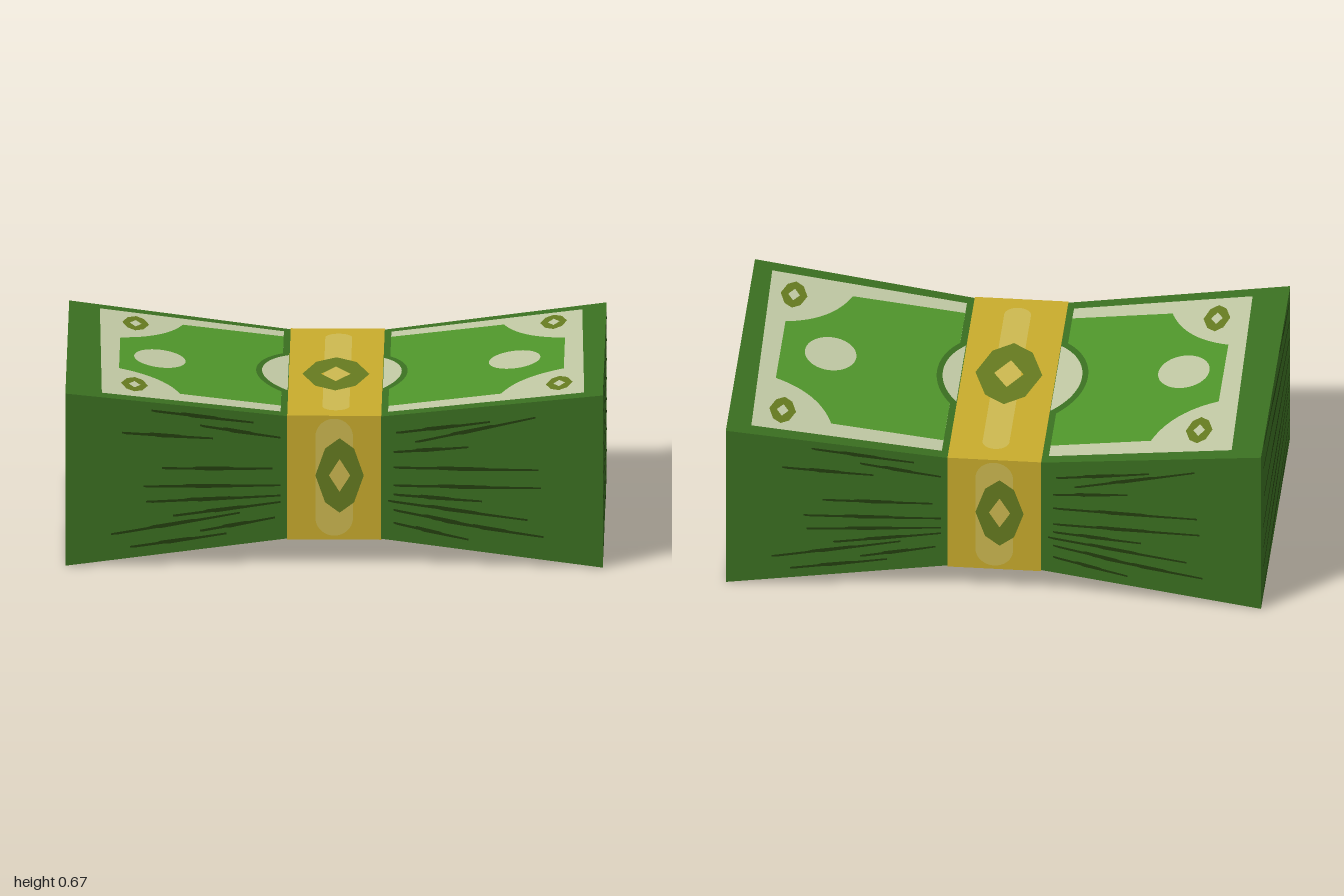
import * as THREE from 'three';

const mat = (name, color, extra = {}) => Object.assign(new THREE.MeshStandardMaterial({ color, ...extra }), { name });

const BEND = 0.175, H = 0.67, END_Z = 0.59, MID_Z = 0.55, PINCH = 0.097;

// How far along a flared end x lies: 0 at the band, 1 at the end
const flare = (x) => Math.max(0, (Math.abs(x) - BEND) / (1 - BEND));
const topY = (x) => H - PINCH * (1 - flare(x));
const frontZ = (x) => MID_Z + (END_Z - MID_Z) * flare(x);

// Lay a flat shape onto a face of the bundle, lifted by a small amount
const onto = {
  top: (u, v, lift) => [u, topY(u) + lift, -v],
  front: (u, v, lift) => [u, v, frontZ(u) + lift],
  end: (u, v, lift) => [1 + lift, v, -u],
};
function plate(name, face, shapes, material, lift) {
  const geo = new THREE.ShapeGeometry(shapes, 20);
  const p = geo.attributes.position;
  for (let i = 0; i < p.count; i++) p.setXYZ(i, ...onto[face](p.getX(i), p.getY(i), lift));
  geo.computeVertexNormals();
  const mesh = new THREE.Mesh(geo, material);
  mesh.name = name;
  return mesh;
}

const poly = (pts) => new THREE.Shape(pts.map(([x, y]) => new THREE.Vector2(x, y)));
const ellipse = (x, y, rx, ry) => new THREE.Shape().absellipse(x, y, rx, ry, 0, Math.PI * 2);

// Ornament: a lozenge with a slit in the middle
function lozenge(x, y, w, h) {
  const ring = (k) => [[x + w * k, y], [x, y + h * k], [x - w * k, y], [x, y - h * k]];
  const s = poly([
    [x + w * 0.5, y], [x + w * 0.3, y + h * 0.36], [x, y + h * 0.5], [x - w * 0.3, y + h * 0.36],
    [x - w * 0.5, y], [x - w * 0.3, y - h * 0.36], [x, y - h * 0.5], [x + w * 0.3, y - h * 0.36],
  ]);
  s.holes.push(poly(ring(0.22)));
  return s;
}

// Part of an oval that sticks out beside the band
function ovalSide(side, cx, cy, rx, ry, cut) {
  const a = Math.acos((cut - side * cx) / rx);
  const pts = [];
  for (let i = 0; i <= 24; i++) {
    const t = -a + (2 * a * i) / 24;
    pts.push([cx + side * rx * Math.cos(t), cy + ry * Math.sin(t)]);
  }
  return poly(pts);
}

// Upright strip with rounded ends
function strip(x, w, y0, y1) {
  const r = w / 2, s = new THREE.Shape();
  s.absarc(x, y1 - r, r, 0, Math.PI);
  s.absarc(x, y0 + r, r, Math.PI, Math.PI * 2);
  return s;
}

// Ragged tapered streak, made of stepped slivers
function streak([x0, y0, x1, y1], w) {
  const at = (t, d) => [x0 + (x1 - x0) * t, y0 + (y1 - y0) * t + d * w];
  return poly([
    at(0, 0.35), at(0.28, 0.35), at(0.32, 0.6), at(0.62, 0.5), at(0.66, 0.3), at(1, 0.25),
    at(1, -0.25), at(0.7, -0.4), at(0.4, -0.55), at(0.36, -0.35), at(0.05, -0.3), at(0, -0.1),
  ]);
}

// Inner field of a note, with its corners scooped out by round shapes
function field(side, edge) {
  const s = new THREE.Shape();
  s.moveTo(side * 0.2, 0.44);
  s.lineTo(side * (edge - 0.23), 0.44);
  s.quadraticCurveTo(side * (edge - 0.17), 0.25, side * edge, 0.19);
  s.lineTo(side * edge, -0.2);
  s.quadraticCurveTo(side * (edge - 0.17), -0.25, side * (edge - 0.23), -0.435);
  s.lineTo(side * 0.2, -0.435);
  return s;
}

const FRONT_STREAKS = [
  [0.23, 0.51, 0.58, 0.56], [0.3, 0.475, 0.75, 0.58], [0.22, 0.435, 0.5, 0.46],
  [0.22, 0.375, 0.76, 0.375], [0.22, 0.305, 0.77, 0.305], [0.22, 0.27, 0.55, 0.25],
  [0.2, 0.245, 0.72, 0.18], [0.22, 0.21, 0.6, 0.14], [0.4, 0.17, 0.78, 0.115], [0.22, 0.16, 0.5, 0.1],
  [-0.79, 0.515, -0.45, 0.49], [-0.68, 0.6, -0.3, 0.55], [-0.5, 0.54, -0.2, 0.49],
  [-0.64, 0.375, -0.23, 0.37], [-0.71, 0.305, -0.2, 0.305], [-0.7, 0.245, -0.2, 0.265],
  [-0.83, 0.12, -0.35, 0.2], [-0.6, 0.19, -0.2, 0.24], [-0.76, 0.07, -0.4, 0.12], [-0.5, 0.13, -0.22, 0.18],
];
const END_STREAKS = [
  [-0.48, 0.655, 0.54, 0.54], [-0.49, 0.56, 0.54, 0.465], [-0.48, 0.425, 0.54, 0.39],
  [-0.51, 0.31, 0.54, 0.31], [-0.49, 0.21, 0.54, 0.262], [-0.49, 0.125, 0.54, 0.195],
  [-0.5, 0.018, 0.54, 0.11], [0.15, 0.014, 0.53, 0.05], [0.15, 0.658, 0.54, 0.625],
];

export function createModel() {
  const bodyGreen = mat('paper edge green', 0x3b7021, { flatShading: true });
  const noteGreen = mat('note green', 0x50962b);
  const cream = mat('note cream', 0xc1c9a4);
  const gold = mat('band gold', 0xc9ac2d);
  const paleGold = mat('band highlight', 0xcdb950);
  const olive = mat('ornament olive', 0x667b20);
  const dark = mat('paper gap green', 0x243f0f);

  const root = new THREE.Group();
  root.name = 'banknoteBundle';

  // Stack of paper, pinched in the middle
  const stackGeo = new THREE.BoxGeometry(2, H, END_Z * 2, 3, 1, 1);
  const p = stackGeo.attributes.position;
  for (let i = 0; i < p.count; i++) {
    const x = Math.abs(p.getX(i)) < 0.9 ? Math.sign(p.getX(i)) * BEND : p.getX(i);
    p.setXYZ(i, x, p.getY(i) > 0 ? topY(x) : H - topY(x), Math.sign(p.getZ(i)) * frontZ(x));
  }
  stackGeo.computeVertexNormals();
  const stack = new THREE.Mesh(stackGeo, bodyGreen);
  stack.name = 'paperStack';
  root.add(stack);

  // Band around the middle
  const band = new THREE.Mesh(new THREE.BoxGeometry(BEND * 2, H - PINCH * 2 + 0.006, MID_Z * 2 + 0.006), gold);
  band.name = 'paperBand';
  band.position.y = H / 2;
  root.add(band);

  // Printed note on the top
  function noteFace() {
    const g = new THREE.Group();
    const sides = [[1, 0.91, 0.93, 0.85, 0.665], [-1, 0.885, 0.865, 0.805, 0.655]];
    for (const [s, far, near, edge, dot] of sides) {
      const border = poly([[s * 0.2, 0.51], [s * far, 0.53], [s * near, -0.53], [s * 0.2, -0.505]]);
      g.add(
        plate('noteBorder', 'top', border, cream, 0.0015),
        plate('noteField', 'top', field(s, edge), noteGreen, 0.003),
        plate('noteSpot', 'top', ellipse(s * dot, -0.025, 0.096, 0.112), cream, 0.0045),
        plate('ovalRim', 'top', ovalSide(s, -0.015, -0.02, 0.282, 0.32, 0.176), bodyGreen, 0.0045),
        plate('ovalPortrait', 'top', ovalSide(s, -0.015, -0.02, 0.26, 0.285, 0.177), cream, 0.006),
      );
    }
    const corners = [[-0.75, 0.385], [0.805, 0.4], [-0.745, -0.385], [0.835, -0.385]];
    g.add(
      plate('cornerOrnaments', 'top', corners.map(([x, y]) => lozenge(x, y, 0.1, 0.18)), olive, 0.0045),
      plate('bandHighlight', 'top', strip(0.005, 0.1, -0.49, 0.48), paleGold, 0.005),
      plate('bandOrnament', 'top', lozenge(0, -0.035, 0.25, 0.42), olive, 0.007),
    );
    return g;
  }

  // Long paper edge with gaps between sheets
  function longFace() {
    const g = new THREE.Group();
    g.add(
      plate('sheetGaps', 'front', FRONT_STREAKS.map((s) => streak(s, 0.014)), dark, 0.002),
      plate('bandHighlight', 'front', strip(0, 0.14, 0.11, 0.565), paleGold, 0.005),
      plate('bandOrnament', 'front', lozenge(0.02, 0.345, 0.18, 0.29), olive, 0.007),
    );
    return g;
  }

  // Short paper edge
  const shortFace = () => plate('endSheetGaps', 'end', END_STREAKS.map((s) => streak(s, 0.019)), dark, 0.001);

  // Each face and its twin on the opposite side
  const faces = [['note', noteFace, 'x'], ['longEdge', longFace, 'y'], ['shortEdge', shortFace, 'y']];
  for (const [name, make, axis] of faces) {
    const first = make(), twin = make();
    first.name = name + 'Face';
    twin.name = name + 'FaceOpposite';
    twin.rotation[axis] = Math.PI;
    if (axis === 'x') twin.position.y = H;
    root.add(first, twin);
  }
  return root;
}
